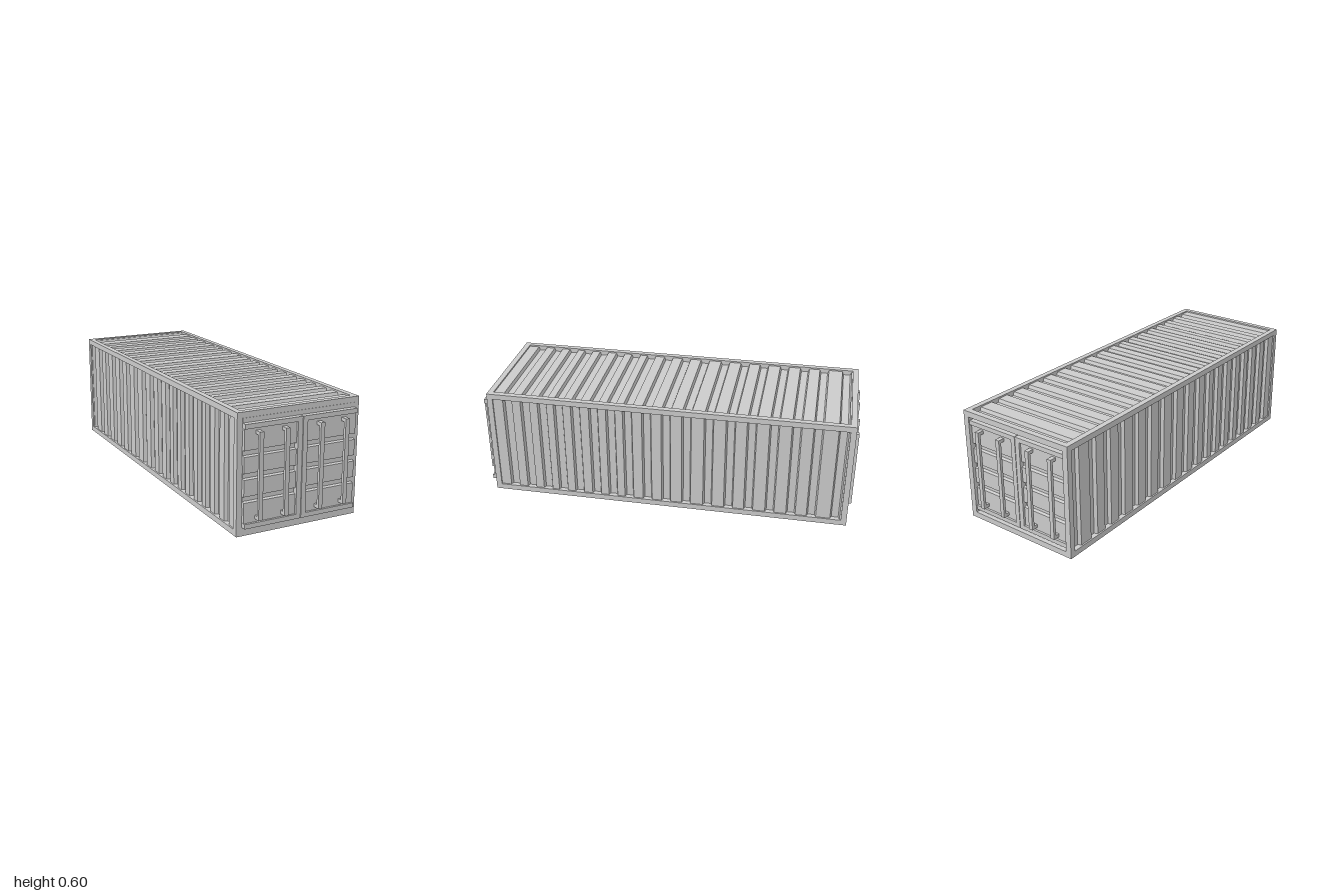
import * as THREE from 'three';

const W = 0.33, H = 0.595, Z0 = -0.982, Z1 = 0.947, B = 0.03;
const material = new THREE.MeshStandardMaterial({ color: 0xcccccc, flatShading: true });

function add(parent, name, geometry) {
  const mesh = new THREE.Mesh(geometry, material);
  mesh.name = name;
  parent.add(mesh);
  return mesh;
}

// Box given by its limits on each axis
function box(parent, name, x0, x1, y0, y1, z0, z1) {
  const mesh = add(parent, name, new THREE.BoxGeometry(x1 - x0, y1 - y0, z1 - z0));
  mesh.position.set((x0 + x1) / 2, (y0 + y1) / 2, (z0 + z1) / 2);
  return mesh;
}

// Panel with trapezoid grooves: profile runs along "along", faces "normal"
function groovedPanel(parent, name, o) {
  const s = new THREE.Shape();
  const half = o.grooveWidth / 2;
  s.moveTo(o.from, -o.thickness);
  s.lineTo(o.to, -o.thickness);
  s.lineTo(o.to, 0);
  for (const c of [...o.grooves].sort((a, b) => b - a)) {
    s.lineTo(c + half, 0);
    s.lineTo(c + half - o.slope, -o.depth);
    s.lineTo(c - half + o.slope, -o.depth);
    s.lineTo(c - half, 0);
  }
  s.lineTo(o.from, 0);
  s.closePath();
  const geo = new THREE.ExtrudeGeometry(s, { depth: o.length, bevelEnabled: false });
  geo.translate(0, 0, -o.length / 2);
  const across = new THREE.Vector3().crossVectors(o.along, o.normal);
  geo.applyMatrix4(new THREE.Matrix4().makeBasis(o.along, o.normal, across));
  const mesh = add(parent, name, geo);
  mesh.position.copy(o.position);
}

// One door end, built facing +z
function doorEnd() {
  const end = new THREE.Group();
  box(end, 'endBacking', -0.303, 0.303, 0.029, 0.567, 0.9, 0.949);
  for (const s of [-1, 1]) {
    const door = new THREE.Group();
    door.name = s > 0 ? 'leftDoor' : 'rightDoor';
    end.add(door);
    const span = (a, b) => (s > 0 ? [a, b] : [-b, -a]);

    // recessed panel with three horizontal grooves
    groovedPanel(door, 'doorPanel', {
      along: new THREE.Vector3(0, 1, 0), normal: new THREE.Vector3(0, 0, 1),
      position: new THREE.Vector3(s * 0.164, 0, 0.965),
      from: 0.067, to: 0.523, length: 0.277, thickness: 0.04,
      grooves: [0.183, 0.294, 0.403], grooveWidth: 0.03, slope: 0.004, depth: 0.0155,
    });

    // top and bottom rails and the inner post
    box(door, 'doorBottomRail', ...span(0.0015, 0.303), 0.045, 0.068, 0.93, 0.976);
    box(door, 'doorTopRail', ...span(0.0015, 0.303), 0.522, 0.545, 0.93, 0.976);
    box(door, 'doorInnerPost', ...span(0.0015, 0.0265), 0.068, 0.522, 0.93, 0.976);

    // locking bars held off the door by a foot at each end
    for (const x of [0.094, 0.232]) {
      const bar = new THREE.Group();
      bar.name = 'lockingBar';
      bar.position.x = s * x;
      door.add(bar);
      box(bar, 'bar', -0.011, 0.011, 0.083, 0.508, 0.985, 1);
      box(bar, 'barLowerFoot', -0.011, 0.011, 0.083, 0.1, 0.96, 0.985);
      box(bar, 'barUpperFoot', -0.011, 0.011, 0.491, 0.508, 0.96, 0.985);
    }
  }
  return end;
}

export function createModel() {
  const model = new THREE.Group();
  model.name = 'shippingContainer';

  // twelve frame beams
  const frame = new THREE.Group();
  frame.name = 'frame';
  model.add(frame);
  for (const [x0, x1] of [[-W, -W + B], [W - B, W]]) {
    for (const [y0, y1] of [[0, B], [H - B, H]]) box(frame, 'longRail', x0, x1, y0, y1, Z0, Z1);
    for (const [z0, z1] of [[Z0, Z0 + B], [Z1 - B, Z1]]) box(frame, 'cornerPost', x0, x1, B, H - B, z0, z1);
  }
  for (const [y0, y1] of [[0, B], [H - B, H]]) {
    for (const [z0, z1] of [[Z0, Z0 + B], [Z1 - B, Z1]]) box(frame, 'crossBeam', -W + B, W - B, y0, y1, z0, z1);
  }

  // corrugated walls, roof and floor
  const grooves = [-0.92, -0.796, -0.688, -0.576, -0.462, -0.354, -0.241, -0.125, -0.016,
    0.087, 0.188, 0.278, 0.37, 0.467, 0.56, 0.648, 0.742, 0.838];
  const recess = 0.008;
  const walls = [
    ['leftWall', 1, 0, W - recess, H / 2, H - 2 * B],
    ['rightWall', -1, 0, -W + recess, H / 2, H - 2 * B],
    ['roof', 0, 1, 0, H - recess, 2 * (W - B)],
    ['floor', 0, -1, 0, recess, 2 * (W - B)],
  ];
  for (const [name, nx, ny, px, py, length] of walls) {
    groovedPanel(model, name, {
      along: new THREE.Vector3(0, 0, 1), normal: new THREE.Vector3(nx, ny, 0),
      position: new THREE.Vector3(px, py, 0),
      from: Z0 + B, to: Z1 - B, length, thickness: 0.03,
      grooves, grooveWidth: 0.05, slope: 0.007, depth: 0.018,
    });
  }

  // door ends
  const front = doorEnd();
  front.name = 'frontDoors';
  const back = doorEnd();
  back.name = 'backDoors';
  back.rotation.y = Math.PI;
  model.add(front, back);
  return model;
}
